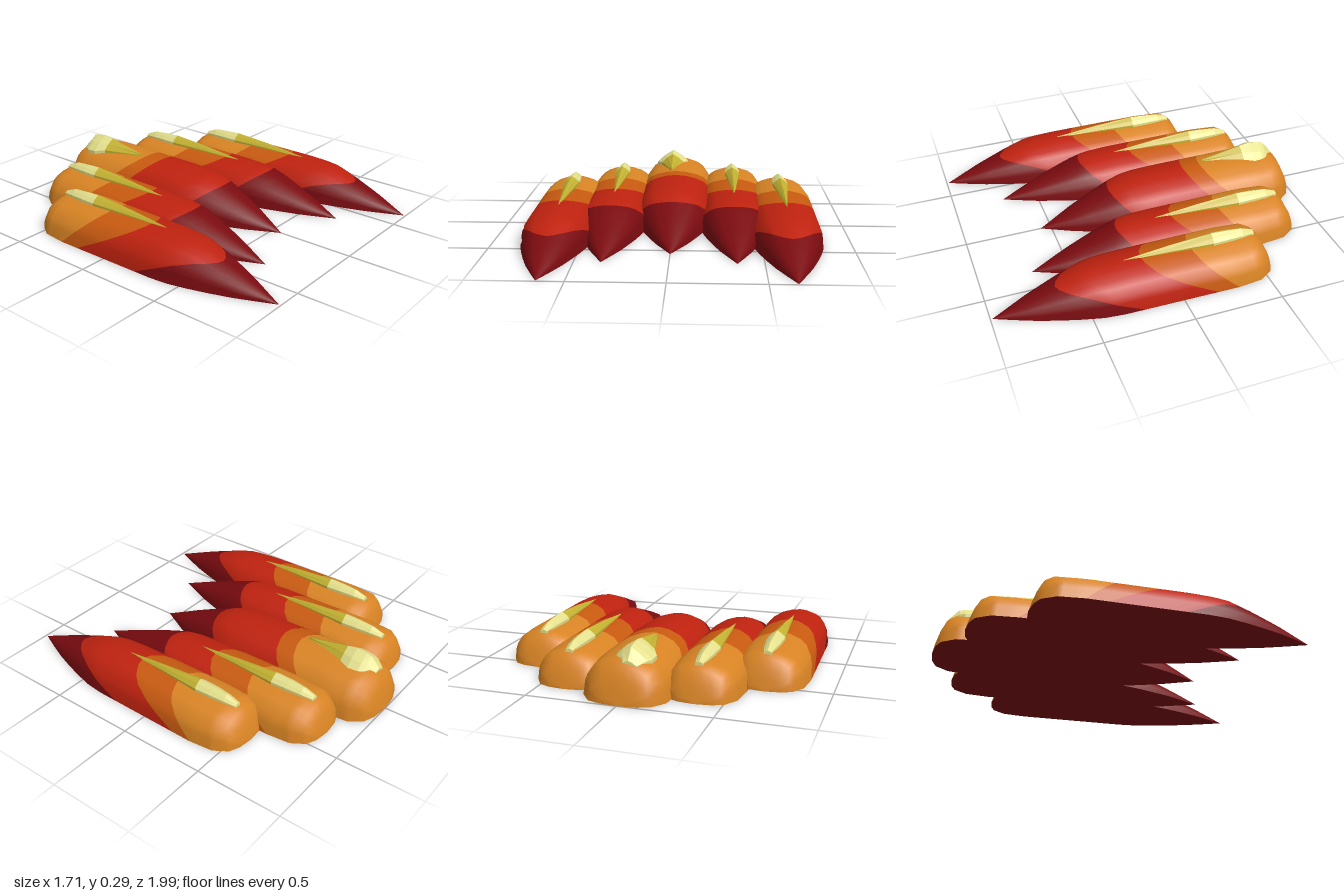
import * as THREE from 'three';

const mat = (name, color, extra = {}) => Object.assign(new THREE.MeshStandardMaterial({ color, ...extra }), { name });

// Piecewise linear lookup in a list of [position, value]
function lookup(curve, t) {
  for (let i = 1; i < curve.length; i++) {
    const [a, va] = curve[i - 1], [b, vb] = curve[i];
    if (t <= b) return va + (vb - va) * Math.max(0, (t - a) / (b - a));
  }
  return curve[curve.length - 1][1];
}

// Skin cross-sections running back to front, each going from +x over the top to -x.
// bands[i] is the material index of the strip after row i.
function loft(rows, bands) {
  const n = rows[0].length, index = [];
  const geo = new THREE.BufferGeometry();
  geo.setAttribute('position', new THREE.Float32BufferAttribute(rows.flat(2), 3));
  for (let r = 0; r < rows.length - 1; r++) {
    geo.addGroup(index.length, (n - 1) * 6, bands[r]);
    for (let c = 0; c < n - 1; c++) {
      const a = r * n + c, b = a + 1, d = a + n, e = d + 1;
      index.push(a, b, d, b, e, d);
    }
  }
  geo.setIndex(index);
  return geo;
}

// Claw outline and ridge line, measured from the rounded back end
const LENGTH = 1.56;
const WIDTH = [[0, 0], [0.01, 0.42], [0.035, 0.7], [0.11, 0.93], [0.25, 1], [0.97, 0.95], [1.17, 0.72], [1.37, 0.4], [LENGTH, 0]];
const HEIGHT = [[0, 0], [0.03, 0.5], [0.065, 0.85], [0.1, 0.97], [0.3, 1], [0.85, 1], [1.05, 0.94], [1.3, 0.5], [LENGTH, 0]];
const HALF = [[1, 0], [0.95, 0.35], [0.88, 0.53], [0.73, 0.75], [0.55, 0.87], [0.25, 0.97]];
const SECTION = [...HALF, [0, 1], ...HALF.map(([x, y]) => [-x, y]).reverse()];
const BACK = [0, 0.004, 0.01, 0.02, 0.035, 0.065, 0.11];

// Domed claw; each stripe is [distance at the base, distance at the ridge]
function clawGeometry(w, h, stripes) {
  const rows = [], bands = [];
  const addRow = (at, band) => {
    rows.push(SECTION.map(([x, y]) => {
      const t = at(y);
      return [x * w * lookup(WIDTH, t), y * h * lookup(HEIGHT, t), t - LENGTH / 2];
    }));
    bands.push(band);
  };
  BACK.forEach(t => addRow(() => t, 0));
  const edges = [[0.11, 0.11], ...stripes, [LENGTH, LENGTH]];
  const STEPS = 7;
  for (let i = 0; i < edges.length - 1; i++) {
    const [a0, a1] = edges[i], [b0, b1] = edges[i + 1];
    for (let s = i ? 0 : 1; s < STEPS; s++) {
      const k = s / STEPS;
      addRow(y => (a0 + (a1 - a0) * y) * (1 - k) + (b0 + (b1 - b0) * y) * k, i);
    }
  }
  addRow(() => LENGTH, 3);
  bands[BACK.length - 1] = 0;
  const top = loft(rows, bands);
  top.computeVertexNormals();
  // Flat underside joining both base edges
  const under = loft(rows.map(r => [r[r.length - 1], r[0]]), bands.map(() => 0));
  under.computeVertexNormals();
  return { top, under };
}

// Faceted ridge from rows of [z, half width, shoulder height, peak height]
function ridgeGeometry(rows, split, base = 0.1) {
  const sections = rows.map(([z, w, s, p]) => [
    [w, base, z], [w, s, z], [w * 0.55, s + (p - s) * 0.55, z], [0, p, z],
    [-w * 0.55, s + (p - s) * 0.55, z], [-w, s, z], [-w, base, z],
  ]);
  const first = rows[0][0];
  sections.unshift(sections[0].map(() => [0, base, first]));
  const geo = loft(sections, sections.map((_, i) => (i <= split ? 0 : 1)));
  const flat = geo.toNonIndexed();
  flat.computeVertexNormals();
  return flat;
}

export function createModel() {
  const model = new THREE.Group();
  const orange = mat('orange', 0xd98424);
  const burntOrange = mat('burnt orange', 0xc85a10);
  const red = mat('red', 0xbf220f);
  const darkRed = mat('dark red', 0x7a0b10);
  const yellow = mat('yellow', 0xc4b232);
  const paleYellow = mat('pale yellow', 0xe4e08c);
  const clawColours = [orange, burntOrange, red, darkRed];

  function addClaw(name, x, z, w, h, stripes, ridge, ridgeX = 0) {
    const group = new THREE.Group();
    group.name = name;
    group.position.set(x, 0, z);
    const { top, under } = clawGeometry(w, h, stripes);
    const shell = new THREE.Mesh(top, clawColours);
    shell.name = name + 'Shell';
    const bottom = new THREE.Mesh(under, darkRed);
    bottom.name = name + 'Underside';
    const spine = new THREE.Mesh(ridge, [paleYellow, yellow]);
    spine.name = name + 'Ridge';
    spine.position.x = ridgeX;
    group.add(shell, bottom, spine);
    model.add(group);
  }

  // Narrow ridge for the side claws, wide one for the middle claw
  const narrow = ridgeGeometry([
    [-0.69, 0.02, 0.185, 0.195], [-0.62, 0.034, 0.195, 0.222], [-0.53, 0.043, 0.2, 0.23],
    [-0.44, 0.046, 0.2, 0.235], [-0.2, 0.024, 0.195, 0.22], [0.06, 0.003, 0.185, 0.192]], 3);
  const wide = ridgeGeometry([
    [-0.7, 0.045, 0.19, 0.215], [-0.65, 0.085, 0.205, 0.272], [-0.62, 0.102, 0.205, 0.28],
    [-0.56, 0.104, 0.21, 0.287], [-0.5, 0.073, 0.22, 0.277], [-0.25, 0.003, 0.22, 0.234]], 4);

  // Mirrored outer and inner claws around the middle one
  for (const [side, s] of [['left', 1], ['right', -1]]) {
    addClaw(side + 'OuterClaw', s * 0.645, 0.21, 0.21, 0.19,
      [[0.25, 0.47], [0.37, 0.75], [0.79, 1.22]], narrow);
    addClaw(side + 'InnerClaw', s * 0.357, -0.075, 0.21, 0.19,
      [[0.25, 0.47], [0.37, 0.75], [0.85, 1.07]], narrow);
  }
  addClaw('middleClaw', 0, -0.22, 0.24, 0.225,
    [[0.3, 0.56], [0.44, 0.67], [0.96, 1.14]], wide, -0.035);
  return model;
}
